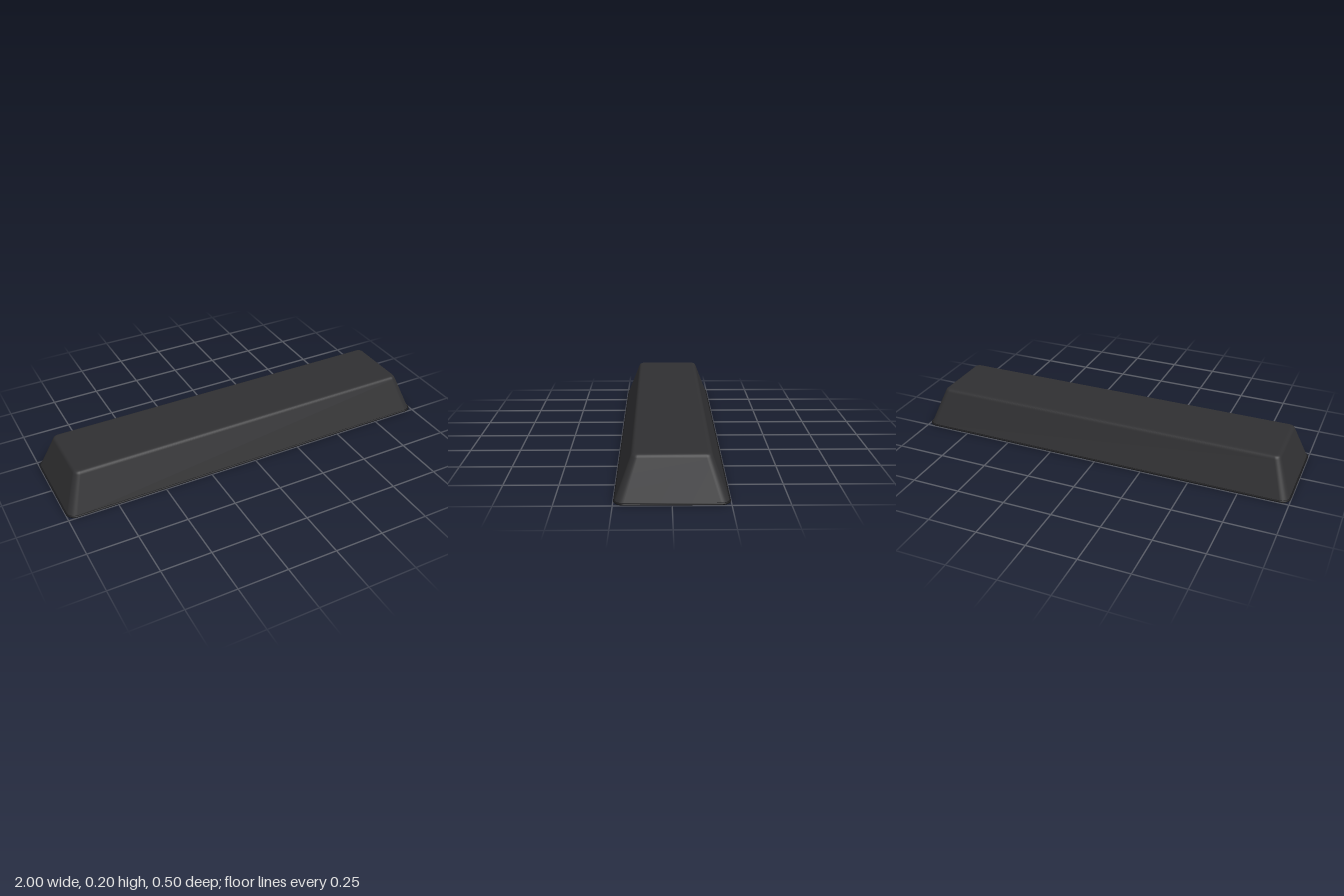
import * as THREE from 'three';

const CORNER_STEPS = 8;

// Rounded rectangle in the horizontal plane, listed from +x towards +z
function ring([y, hx, hz, r]) {
  const points = [];
  const signs = [[1, 1], [-1, 1], [-1, -1], [1, -1]];
  signs.forEach(([sx, sz], quarter) => {
    for (let i = 0; i <= CORNER_STEPS; i++) {
      const a = (quarter + i / CORNER_STEPS) * Math.PI / 2;
      points.push([sx * (hx - r) + r * Math.cos(a), y, sz * (hz - r) + r * Math.sin(a)]);
    }
  });
  return points;
}

// Skin through a list of [y, halfX, halfZ, cornerRadius] sections
function loft(sections, inward = false) {
  const rings = sections.map(ring);
  const n = rings[0].length;
  const index = [];
  for (let s = 0; s < rings.length - 1; s++) {
    for (let i = 0; i < n; i++) {
      const a = s * n + i, b = s * n + (i + 1) % n;
      const c = a + n, d = b + n;
      if (inward) index.push(a, b, c, b, d, c);
      else index.push(a, c, b, b, c, d);
    }
  }
  const geometry = new THREE.BufferGeometry();
  geometry.setAttribute('position', new THREE.Float32BufferAttribute(rings.flat(2), 3));
  geometry.setIndex(index);
  geometry.computeVertexNormals();
  return geometry;
}

// Sloping wall, rounded shoulder and flat top; inset moves the skin inwards
function shadeSections(inset, bottom) {
  const top = 0.2 - inset;
  const slope = 0.073 / 0.192;
  const wall = (y) => 0.243 - inset - slope * (y - 0.008);
  const section = (y, hz, r) => [y, hz + 0.75, hz, r];
  const shoulder = top - 0.016;
  const edge = wall(shoulder);
  const list = [section(bottom, wall(bottom), 0.04), section(shoulder, edge, 0.03)];
  for (let i = 1; i <= 6; i++) {
    const t = i / 6;
    const y = shoulder + 0.016 * (1 - (1 - t) ** 2);
    list.push(section(y, edge - 0.006 * 2 * t * (1 - t) - 0.02 * t * t, 0.03 - 0.012 * t));
  }
  list.push(section(top, edge - 0.024, 0.015), section(top, 0, 0));
  return list;
}

function addMesh(parent, name, geometry, color) {
  const material = new THREE.MeshStandardMaterial({ color });
  const mesh = new THREE.Mesh(geometry, material);
  mesh.name = name;
  parent.add(mesh);
  return mesh;
}

const lathe = (points) =>
  new THREE.LatheGeometry(points.map(([r, y]) => new THREE.Vector2(r, y)), 32);

// Lamp holder hanging from the ceiling of the shade, with a round bulb
function createLamp() {
  const lamp = new THREE.Group();
  lamp.name = 'lamp';

  const holder = new THREE.CylinderGeometry(0.031, 0.031, 0.05, 32);
  addMesh(lamp, 'lampHolder', holder, 0x1c1c1e).position.y = 0.168;
  const collar = new THREE.CylinderGeometry(0.025, 0.023, 0.026, 32);
  addMesh(lamp, 'lampCollar', collar, 0x1c1c1e).position.y = 0.131;

  const profile = [];
  for (let i = 0; i <= 16; i++) {
    const a = -Math.PI / 2 + (i / 16) * Math.PI * 0.8;
    profile.push([Math.max(0, 0.039 * Math.cos(a)), 0.065 + 0.039 * Math.sin(a)]);
  }
  profile.push([0.0195, 0.104], [0.0185, 0.112], [0.0185, 0.122]);
  addMesh(lamp, 'bulb', lathe(profile), 0xf2cf9a);
  return lamp;
}

export function createModel() {
  const model = new THREE.Group();
  model.name = 'linearPendantShade';

  // Dark outer shell and pale inner lining
  addMesh(model, 'outerShade', loft(shadeSections(0, 0.006)), 0x303032);
  addMesh(model, 'innerLining', loft(shadeSections(0.006, 0.002), true), 0xd2cfc4);

  // Rolled bead around the open lower edge
  const bead = [];
  for (let i = 0; i <= 12; i++) {
    const a = (i / 12) * Math.PI * 2;
    const out = 0.005 * Math.cos(a);
    bead.push([0.005 + 0.005 * Math.sin(a), 0.995 + out, 0.244 + out, 0.042 + out]);
  }
  addMesh(model, 'rim', loft(bead), 0x1a1a1c);

  // Row of three lamps
  for (const x of [-0.64, 0, 0.64]) {
    const lamp = createLamp();
    lamp.position.x = x;
    model.add(lamp);
  }
  return model;
}
